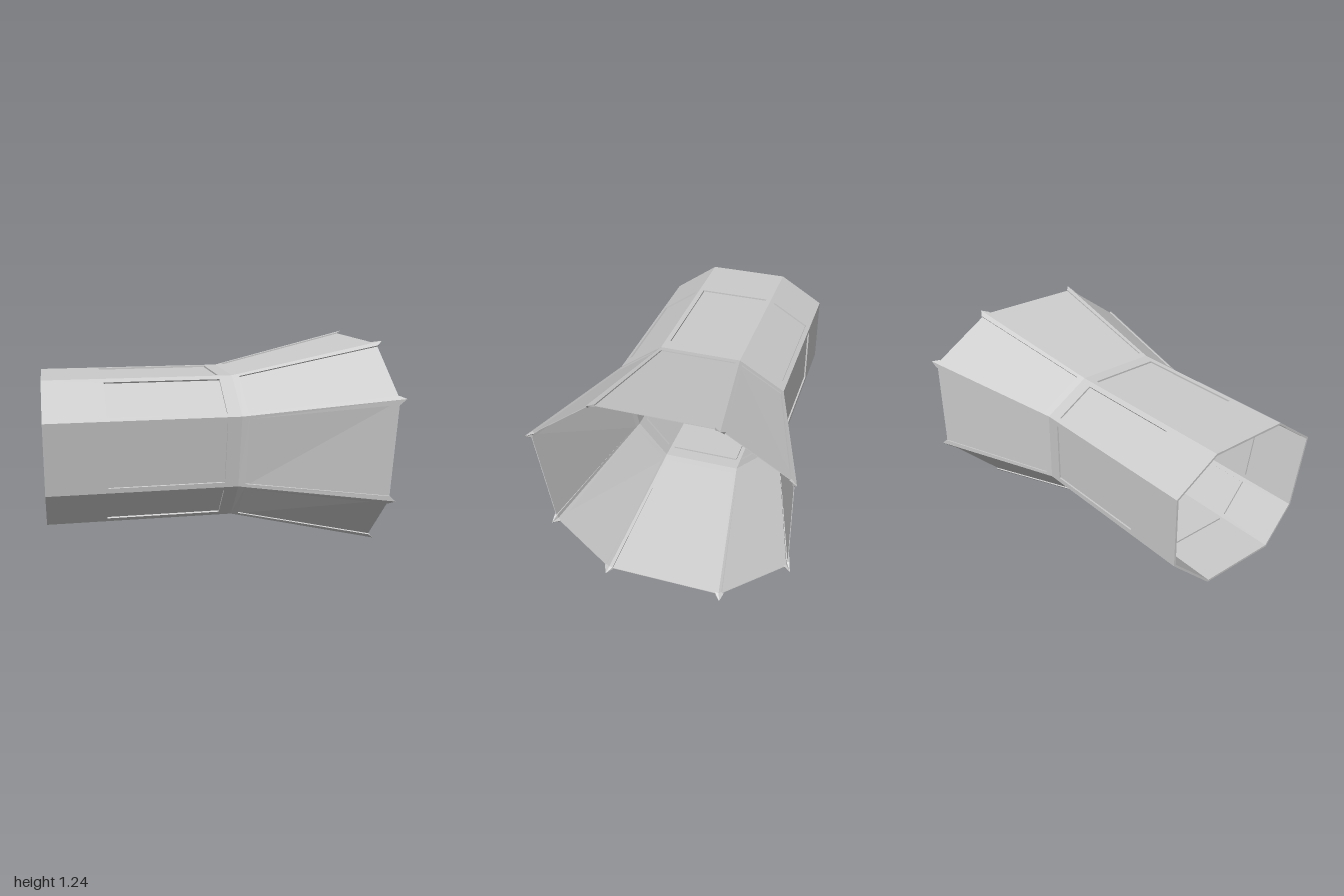
import * as THREE from 'three';

// Matching [z, y] corners of the tube section and of the flared mouth
const TUBE = [[0.29, 1.045], [-0.2, 1.045], [-0.47, 0.88], [-0.47, 0.455],
  [-0.2, 0.195], [0.29, 0.195], [0.475, 0.42], [0.56, 0.85]];
const MOUTH = [[0.35, 1.235], [-0.35, 1.235], [-0.74, 0.99], [-0.74, 0.38],
  [-0.35, 0], [0.35, 0], [0.655, 0.33], [0.735, 0.95]];
const N = 8, BACK = -1, BEND = 0.1, STEP = 0.14, LIP = 0.965, TIP = 1;
const SKIN = 0.012, RECESS = 0.01;

// Section corner at station x: straight up to the bend, then widening
function base(i, x) {
  const k = ((i % N) + N) % N;
  const t = Math.max(0, (x - BEND) / (TIP - BEND));
  return new THREE.Vector2(...TUBE[k]).lerp(new THREE.Vector2(...MOUTH[k]), t);
}
const along = (i, x) => base(i + 1, x).sub(base(i, x)).normalize();
const inward = (i, x) => {
  const e = along(i, x);
  return new THREE.Vector2(-e.y, e.x);
};
const to3 = (p, x) => new THREE.Vector3(x, p.y, p.x);

// Corner i moved inward by depth d, mitred
function corner(i, x, d = 0) {
  const a = inward(i - 1, x), b = inward(i, x);
  const m = a.clone().add(b).multiplyScalar(d / (1 + a.dot(b)));
  return to3(base(i, x).add(m), x);
}
// Point on side i, a distance u from its start (or from its end), at depth d
function onSide(i, x, u, d, fromEnd = false) {
  const p = base(fromEnd ? i + 1 : i, x);
  p.addScaledVector(along(i, x), fromEnd ? -u : u);
  return to3(p.addScaledVector(inward(i, x), d), x);
}

// Collects faces into a flat-shaded mesh
class Faces {
  constructor() { this.pos = []; }
  tri(a, b, c, flip = false) {
    for (const p of flip ? [a, c, b] : [a, b, c]) this.pos.push(p.x, p.y, p.z);
  }
  quad(a, b, c, d, flip = false) {
    this.tri(a, b, c, flip);
    this.tri(a, c, d, flip);
  }
  band(outer, inner, flip) {
    for (let k = 0; k < 4; k++) {
      const n = (k + 1) % 4;
      this.quad(outer[k], outer[n], inner[n], inner[k], flip);
    }
  }
  mesh(name) {
    const g = new THREE.BufferGeometry();
    g.setAttribute('position', new THREE.Float32BufferAttribute(this.pos, 3));
    g.computeVertexNormals();
    const m = new THREE.Mesh(g, new THREE.MeshStandardMaterial({
      color: 0xcccccc, flatShading: true, side: THREE.DoubleSide }));
    m.name = name;
    return m;
  }
}

// The four corners of side i between two stations
const sideRect = (i, x0, x1, d) =>
  [corner(i, x0, d), corner(i, x1, d), corner(i + 1, x1, d), corner(i + 1, x0, d)];

// Tube side with a rectangular pressed panel
function pressedSide(wall, panel, i, d, flip) {
  const x0 = -0.65, x1 = 0.02, m = 0.03;
  const rect = (q) => [onSide(i, x0, m, q), onSide(i, x1, m, q),
    onSide(i, x1, m, q, true), onSide(i, x0, m, q, true)];
  const rim = rect(d), floor = rect(d + RECESS);
  wall.band(sideRect(i, BACK, BEND, d), rim, flip);
  panel.band(rim, floor, flip);
  panel.quad(...floor, flip);
}

// Angled rib over corner i, ending in a pointed tip
function rib(f, i) {
  const section = (x, w, d) => [
    onSide(i - 1, x, w, 0, true), corner(i, x), onSide(i, x, w, 0),
    onSide(i, x, w, d), corner(i, x, d), onSide(i - 1, x, w, d, true)];
  const a = section(STEP, 0.02, SKIN), b = section(LIP, 0.03, 0.018);
  const tip = corner(i, TIP);
  for (let k = 0; k < a.length; k++) {
    const n = (k + 1) % a.length;
    f.quad(a[k], b[k], b[n], a[n]);
    f.tri(b[k], tip, b[n]);
  }
}

export function createModel() {
  const group = new THREE.Group();
  group.name = 'flaredOctagonalTube';
  const outerWall = new Faces(), innerWall = new Faces();
  const outerPanels = new Faces(), innerPanels = new Faces();
  const collar = new Faces(), flare = new Faces(), ribs = new Faces();

  // End face between two depths at station x
  const rimFace = (f, i, x, d0, d1, flip) => f.quad(
    corner(i, x, d0), corner(i + 1, x, d0), corner(i + 1, x, d1), corner(i, x, d1), flip);

  for (let i = 0; i < N; i++) {
    // Straight tube with panels sunk through its skin
    pressedSide(outerWall, outerPanels, i, 0, false);
    pressedSide(innerWall, innerPanels, i, SKIN, true);
    rimFace(outerWall, i, BACK, 0, SKIN, false);

    // Collar at the bend, stepping down to the flare plates
    collar.quad(...sideRect(i, BEND, STEP, 0));
    collar.quad(...sideRect(i, BEND, STEP, SKIN), true);
    rimFace(collar, i, STEP, 0, 0.008, true);

    // Flare plates and corner ribs
    flare.quad(...sideRect(i, STEP, LIP, 0.008));
    flare.quad(...sideRect(i, STEP, LIP, SKIN), true);
    rimFace(flare, i, LIP, 0.008, SKIN, true);
    rib(ribs, i);
  }

  group.add(outerWall.mesh('outerWall'), innerWall.mesh('innerWall'),
    outerPanels.mesh('outerPanels'), innerPanels.mesh('innerPanels'),
    collar.mesh('collar'), flare.mesh('flarePlates'), ribs.mesh('cornerRibs'));
  return group;
}
